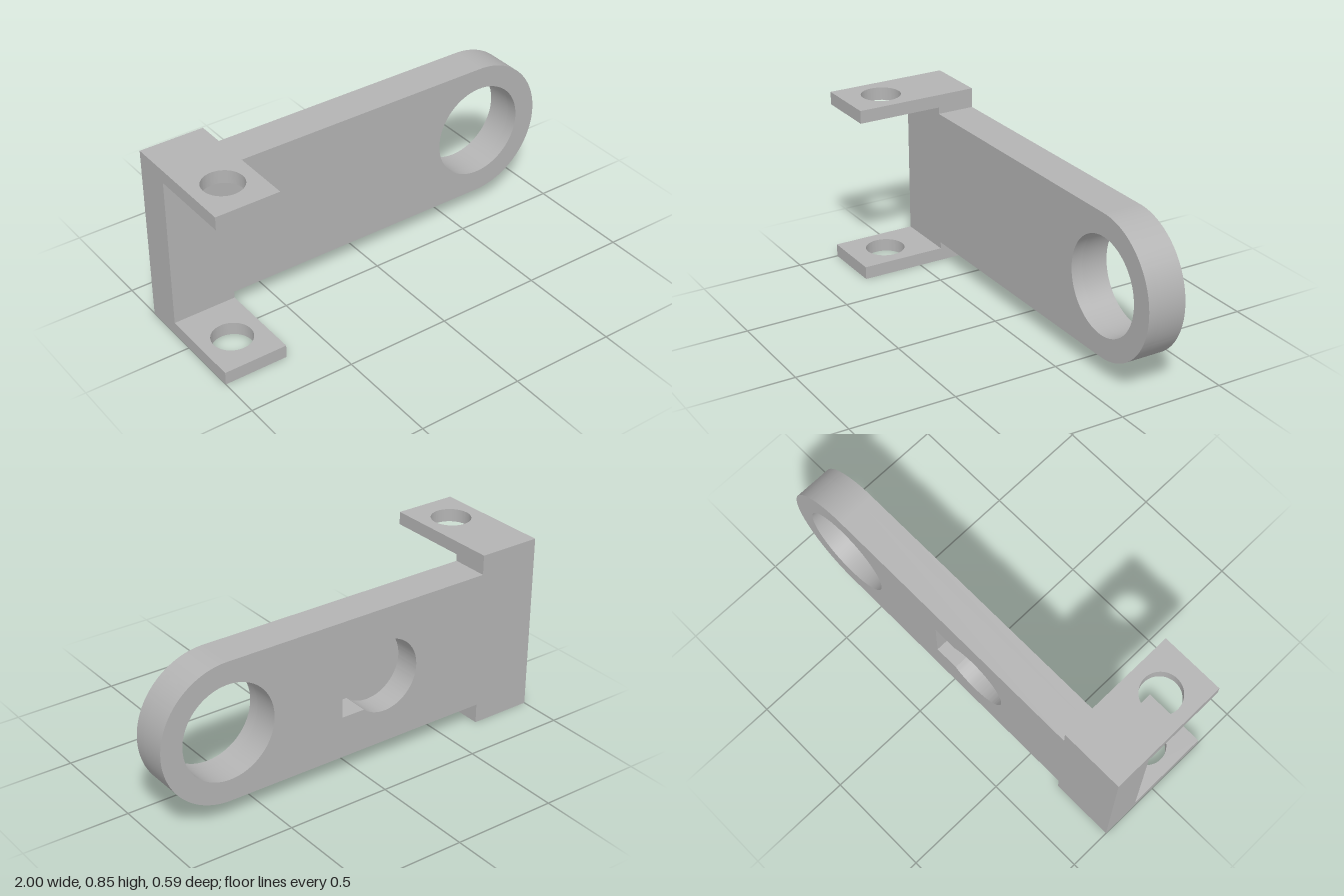
import * as THREE from 'three';
import { toCreasedNormals } from 'three/addons/utils/BufferGeometryUtils.js';

const BACK = -0.297, FLOOR = -0.17, FRONT = -0.115, TAB_END = 0.297;
const HEIGHT = 0.854, MID = HEIGHT / 2, TAB = 0.062;
const STEP_X = -0.695, EYE_X = 0.667, EYE_R = 0.333;

function circleHole(x, y, r) {
  return new THREE.Path().absarc(x, y, r, 0, Math.PI * 2, true);
}

// Arm outline: tall mounting end on the right, rounded eye on the left
function armShape() {
  const s = new THREE.Shape();
  s.moveTo(-1, 0);
  s.lineTo(STEP_X, 0);
  s.lineTo(STEP_X, MID - EYE_R);
  s.lineTo(EYE_X, MID - EYE_R);
  s.absarc(EYE_X, MID, EYE_R, -Math.PI / 2, Math.PI / 2, false);
  s.lineTo(STEP_X, MID + EYE_R);
  s.lineTo(STEP_X, HEIGHT);
  s.lineTo(-1, HEIGHT);
  s.closePath();
  s.holes.push(circleHole(EYE_X, MID, 0.228));
  return s;
}

// Pocket outline: a circle merged with a square slot
function pocketPath() {
  const cx = -0.15, r = 0.175, half = 0.132, end = 0.082;
  const a = Math.asin(half / r);
  const p = new THREE.Path();
  p.moveTo(end, MID - half);
  p.lineTo(end, MID + half);
  p.absarc(cx, MID, r, a, Math.PI * 2 - a, false);
  p.closePath();
  return p;
}

function extrude(shape, depth) {
  const g = new THREE.ExtrudeGeometry(shape, { depth, bevelEnabled: false, curveSegments: 48 });
  return toCreasedNormals(g, Math.PI / 6);
}

export function createModel() {
  const group = new THREE.Group();
  group.name = 'bracket';
  const grey = new THREE.MeshStandardMaterial({ name: 'grey', color: 0xb3b3b3 });

  const add = (name, geometry) => {
    const mesh = new THREE.Mesh(geometry, grey);
    mesh.name = name;
    group.add(mesh);
    return mesh;
  };

  // Front layer closes the pocket
  add('armFront', extrude(armShape(), FRONT - FLOOR)).position.z = FLOOR;

  // Back layer is cut through by the pocket
  const backShape = armShape();
  backShape.holes.push(pocketPath());
  add('armBack', extrude(backShape, FLOOR - BACK)).position.z = BACK;

  // Two drilled tabs reaching forward; the shape's y axis becomes -z
  const tab = new THREE.Shape();
  tab.moveTo(-1, -TAB_END);
  tab.lineTo(STEP_X, -TAB_END);
  tab.lineTo(STEP_X, -FRONT);
  tab.lineTo(-1, -FRONT);
  tab.closePath();
  tab.holes.push(circleHole(-0.848, -0.11, 0.094));
  const tabGeometry = extrude(tab, TAB).rotateX(-Math.PI / 2);
  add('lowerTab', tabGeometry);
  add('upperTab', tabGeometry).position.y = HEIGHT - TAB;

  return group;
}
